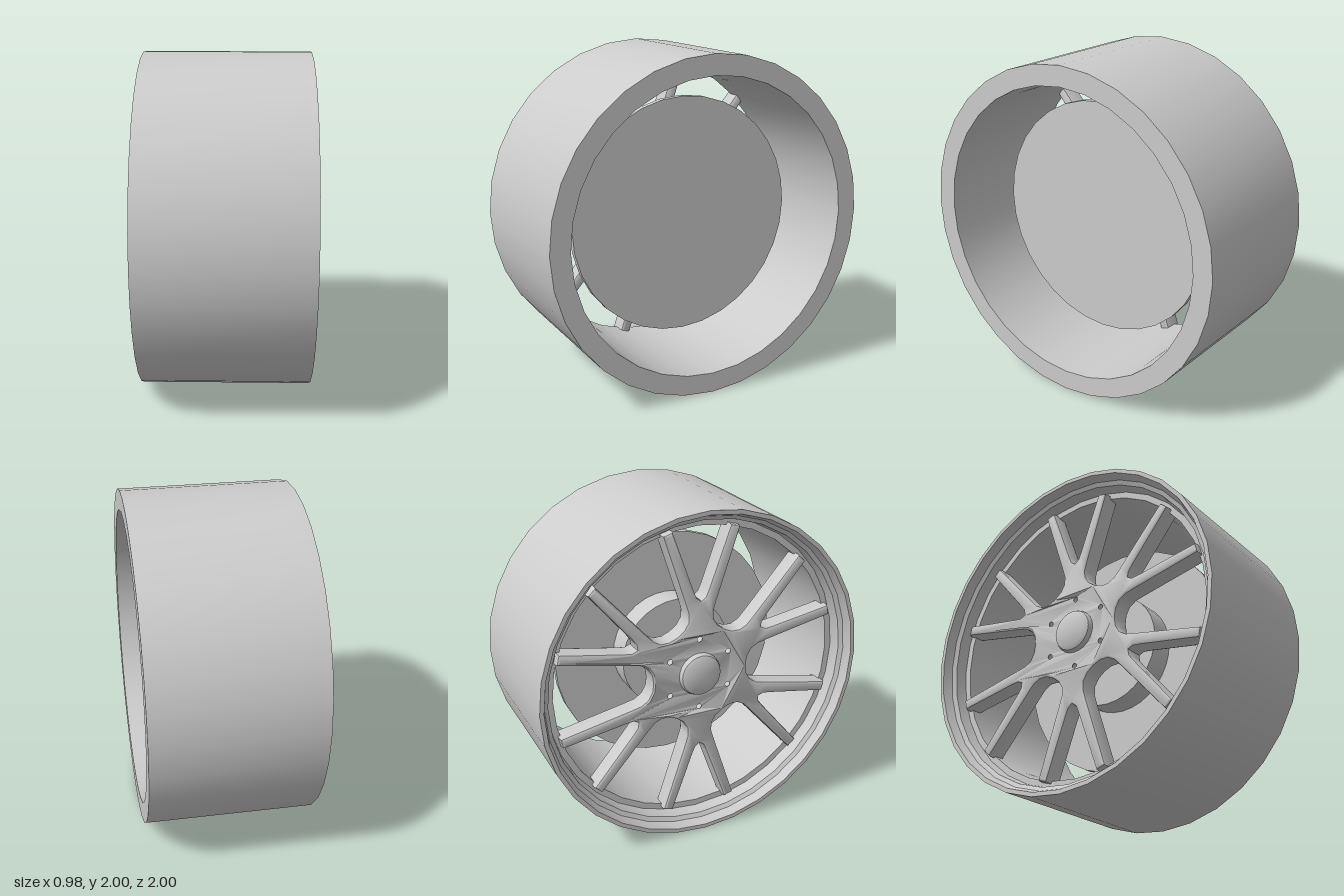
import * as THREE from 'three';
import { toCreasedNormals } from 'three/addons/utils/BufferGeometryUtils.js';

const CREASE = 0.6;

// Spin a closed or capped [radius, x] profile about the x axis
function turned(name, profile, material, segments = 32) {
  const points = profile.map(([r, x]) => new THREE.Vector2(r, x));
  let geometry = new THREE.LatheGeometry(points, segments);
  geometry.rotateZ(-Math.PI / 2); // lathe axis y becomes x
  geometry = toCreasedNormals(geometry, CREASE);
  const mesh = new THREE.Mesh(geometry, material);
  mesh.name = name;
  return mesh;
}

// Star-shaped wheel face: six forked arms around a hub with bolt holes
function spokedFace(material) {
  // one half of a forked arm, from the valley beside it to the fork
  const half = [
    [0.15, 0.26], [0.108, 0.292], [0.082, 0.335], [0.08, 0.385], [0.1, 0.45],
    [0.236, 0.86], [0.176, 0.878], [0.045, 0.52], [0.026, 0.475],
  ];
  const arm = [
    ...half.slice(1).map(([u, v]) => [-u, v]),
    [0, 0.455],
    ...half.slice().reverse(),
  ];
  const outline = [];
  for (let i = 0; i < 6; i++) {
    const a = (i * Math.PI) / 3, c = Math.cos(a), s = Math.sin(a);
    for (const [u, v] of arm) outline.push(new THREE.Vector2(u * c + v * s, v * c - u * s));
  }
  const shape = new THREE.Shape(outline);
  for (let i = 0; i < 6; i++) {
    const a = (i * Math.PI) / 3;
    const hole = new THREE.Path();
    hole.absarc(0.215 * Math.sin(a), 0.215 * Math.cos(a), 0.03, 0, Math.PI * 2, true);
    shape.holes.push(hole);
  }
  const centre = new THREE.Path();
  centre.absarc(0, 0, 0.11, 0, Math.PI * 2, true);
  shape.holes.push(centre);

  let geometry = new THREE.ExtrudeGeometry(shape, {
    depth: 0.08, curveSegments: 6,
    bevelEnabled: true, bevelThickness: 0.02, bevelSize: 0.014, bevelOffset: -0.014, bevelSegments: 2,
  });
  // dish the hub inside the roots of the arms
  const p = geometry.attributes.position;
  for (let i = 0; i < p.count; i++) {
    const r = Math.hypot(p.getX(i), p.getY(i));
    if (p.getZ(i) > 0.04 && r < 0.27) p.setZ(i, p.getZ(i) - 0.02);
  }
  geometry.rotateY(-Math.PI / 2); // extrusion faces -x
  geometry.translate(-0.3, 0, 0);
  geometry.deleteAttribute('normal');
  geometry = toCreasedNormals(geometry, CREASE);
  const mesh = new THREE.Mesh(geometry, material);
  mesh.name = 'spokedFace';
  return mesh;
}

export function createModel() {
  const grey = new THREE.MeshStandardMaterial({ color: 0xcccccc, side: THREE.DoubleSide });
  grey.name = 'lightGrey';

  const wheel = new THREE.Group();
  wheel.name = 'wheel';

  // Barrel with a stepped lip on the spoked side
  wheel.add(turned('barrel', [
    [1, -0.49], [1, 0.49], [0.88, 0.49], [0.88, -0.35], [0.918, -0.35],
    [0.93, -0.42], [0.955, -0.435], [0.975, -0.49], [1, -0.49],
  ], grey));

  wheel.add(spokedFace(grey));

  // Rounded centre cap
  wheel.add(turned('centreCap', [
    [0, -0.425], [0.1, -0.422], [0.122, -0.41], [0.13, -0.39], [0.13, -0.3], [0, -0.3],
  ], grey, 24));

  // Brake parts behind the spokes
  wheel.add(turned('axle', [[0.11, -0.3], [0.11, -0.07]], grey, 24));
  wheel.add(turned('brakeHub', [[0, -0.07], [0.35, -0.07], [0.35, 0.08]], grey));
  wheel.add(turned('brakeDisc', [[0, 0.08], [0.72, 0.08], [0.72, 0.12], [0, 0.12]], grey));

  wheel.position.y = 1;
  const model = new THREE.Group();
  model.name = 'wheelModel';
  model.add(wheel);
  return model;
}
